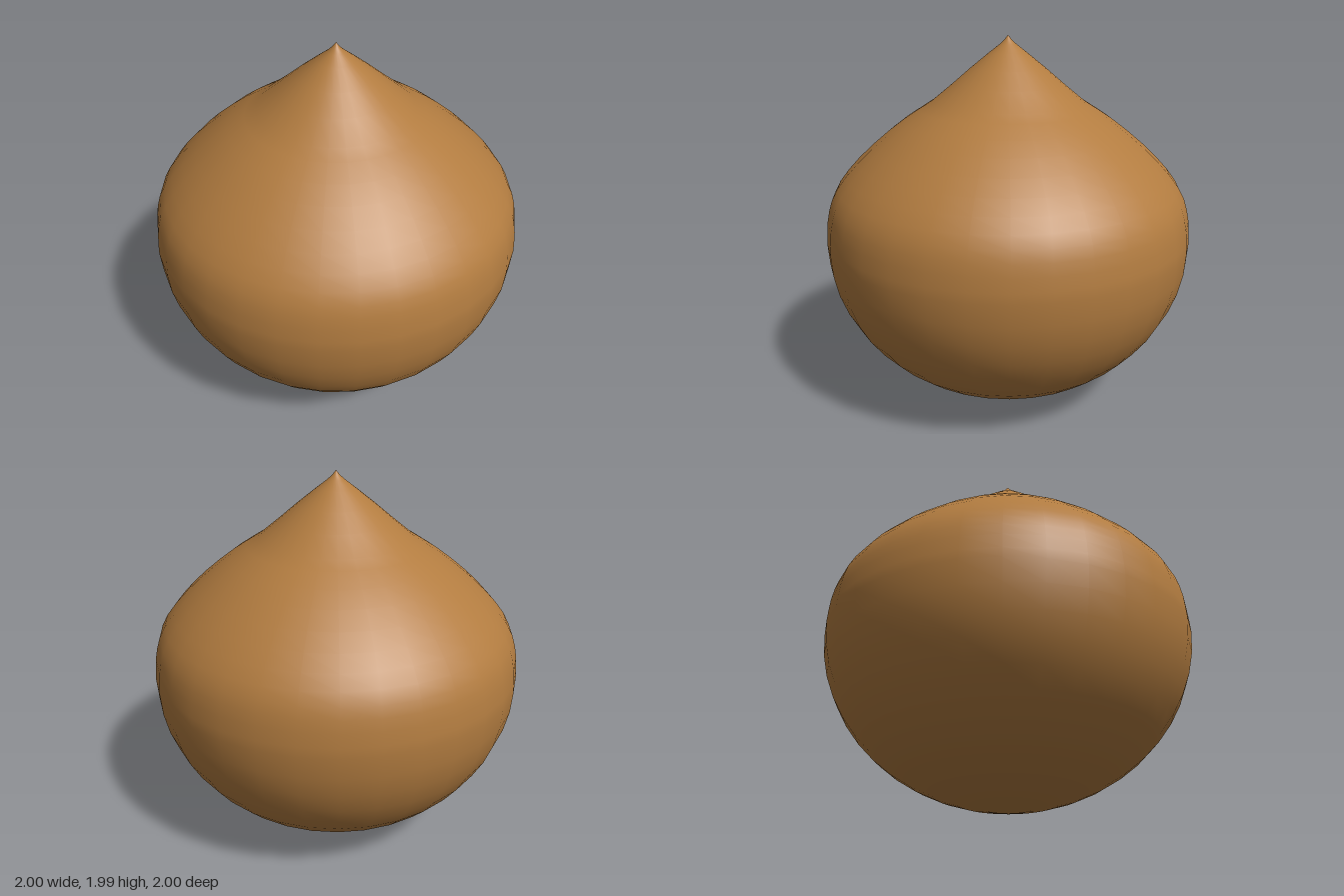
import * as THREE from 'three';

export function createModel() {
  const group = new THREE.Group();
  const brown = new THREE.MeshStandardMaterial({ color: 0xb27c40 });
  brown.name = 'warm brown';

  const profile = [];

  // Rounded underside: quarter ellipse from the base to the widest ring
  for (let i = 0; i <= 12; i++) {
    const a = (i / 12) * Math.PI / 2;
    profile.push(new THREE.Vector2(Math.sin(a), 0.9 - 0.895 * Math.cos(a)));
  }

  // Shoulder curving inward to the foot of the point
  const shoulder = new THREE.SplineCurve([
    [1, 0.9], [0.985, 1.05], [0.935, 1.19], [0.8, 1.35], [0.6, 1.52], [0.41, 1.645],
  ].map(([r, y]) => new THREE.Vector2(r, y)));
  profile.push(...shoulder.getPoints(12).slice(1));

  // Slightly concave point, drawn up to a small tip
  for (const [r, y] of [[0.3, 1.735], [0.2, 1.82], [0.1, 1.9], [0.045, 1.942], [0.02, 1.965], [0, 1.99]]) {
    profile.push(new THREE.Vector2(r, y));
  }

  const body = new THREE.Mesh(new THREE.LatheGeometry(profile, 32), brown);
  body.name = 'pointedBulb';
  group.add(body);
  return group;
}
